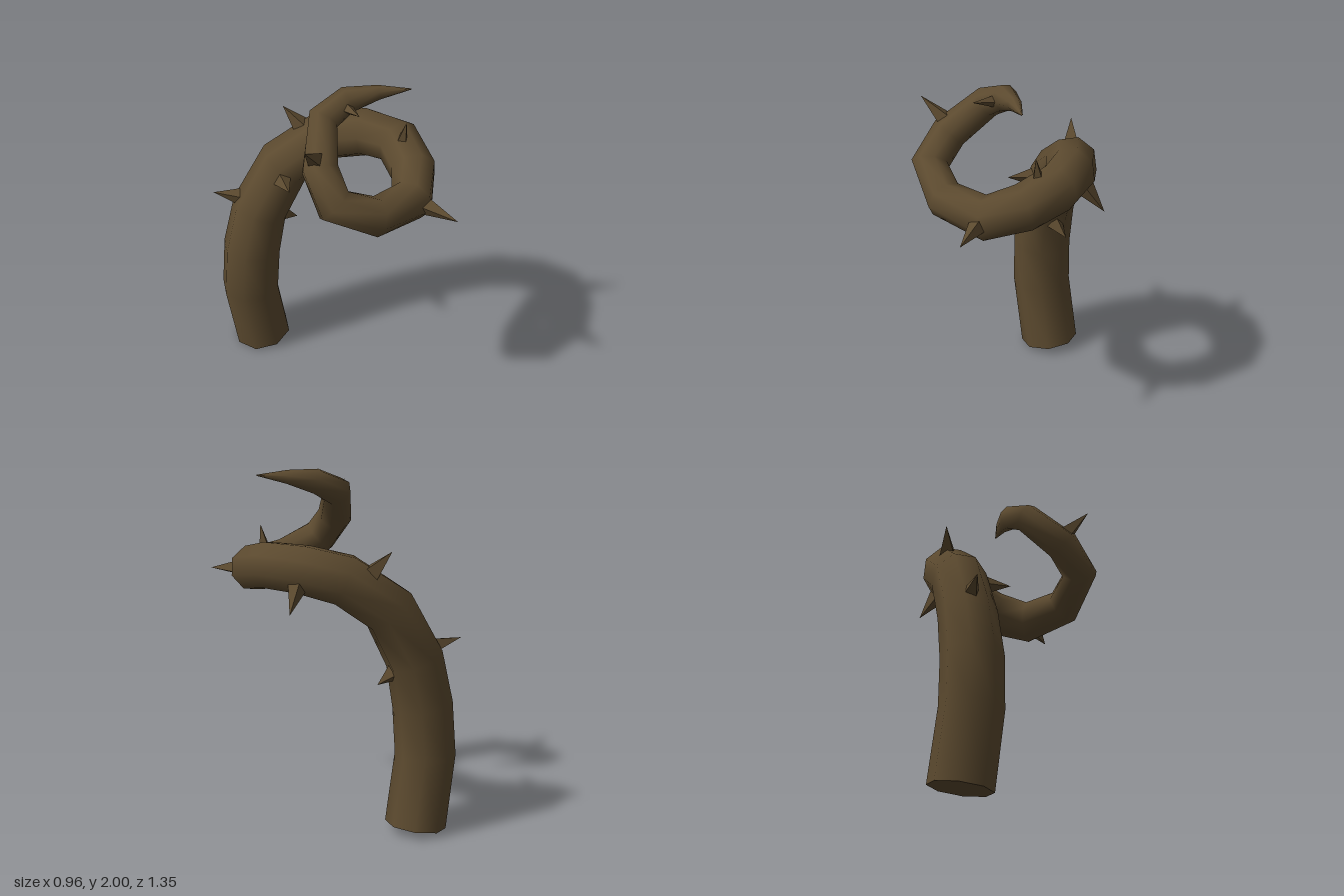
import * as THREE from 'three';

const SIDES = 8;

// Centreline of the vine: x, y, z, radius
const RINGS = [
  [-0.25, 0.03, -0.51, 0.172], [-0.32, 0.44, -0.505, 0.17], [-0.305, 0.73, -0.49, 0.168],
  [-0.25, 1.0, -0.475, 0.16], [-0.11, 1.29, -0.415, 0.153], [0.11, 1.465, -0.305, 0.145],
  [0.26, 1.515, -0.145, 0.137], [0.345, 1.52, 0.035, 0.132], [0.305, 1.465, 0.24, 0.127],
  [0.18, 1.415, 0.4, 0.12], [-0.08, 1.44, 0.445, 0.107], [-0.285, 1.55, 0.37, 0.104],
  [-0.282, 1.69, 0.235, 0.098], [-0.155, 1.86, 0.07, 0.085], [-0.01, 1.93, 0.075, 0.07],
  [0.135, 1.96, 0.145, 0.038], [0.28, 1.973, 0.228, 0.003],
];

// Thorns: base point, tip point, half width
const THORNS = [
  [[-0.33, 1.07, -0.53], [-0.47, 1.11, -0.61], 0.06],
  [[-0.13, 0.93, -0.43], [-0.03, 0.88, -0.42], 0.06],
  [[-0.19, 1.265, -0.31], [-0.24, 1.295, -0.15], 0.06],
  [[0.0, 1.51, -0.41], [-0.07, 1.62, -0.48], 0.06],
  [[0.34, 1.43, -0.19], [0.43, 1.31, -0.24], 0.055],
  [[0.3, 1.56, 0.13], [0.31, 1.72, 0.16], 0.05],
  [[0.215, 1.41, 0.48], [0.29, 1.39, 0.665], 0.055],
  [[-0.31, 1.76, 0.24], [-0.42, 1.88, 0.31], 0.055],
  [[-0.045, 1.915, 0.13], [-0.06, 1.94, 0.26], 0.036],
];

// Tapered tube through the rings, with a flat cap at the root
function vineGeometry() {
  const centres = RINGS.map(([x, y, z]) => new THREE.Vector3(x, y, z));
  const last = centres.length - 1;
  const dir = (i) => centres[i + 1].clone().sub(centres[i]).normalize();
  const pos = [], index = [];
  const normal = new THREE.Vector3(0, 0, 1);
  centres.forEach((c, i) => {
    const tangent = dir(Math.min(i, last - 1));
    if (i > 0 && i < last) tangent.add(dir(i - 1)).normalize();
    normal.addScaledVector(tangent, -normal.dot(tangent)).normalize();
    const side = tangent.clone().cross(normal);
    for (let j = 0; j < SIDES; j++) {
      const a = (j / SIDES) * Math.PI * 2;
      const p = c.clone()
        .addScaledVector(normal, Math.cos(a) * RINGS[i][3])
        .addScaledVector(side, Math.sin(a) * RINGS[i][3]);
      pos.push(p.x, p.y, p.z);
    }
  });
  for (let i = 0; i < last; i++) {
    for (let j = 0; j < SIDES; j++) {
      const k = (j + 1) % SIDES;
      const a = i * SIDES + j, b = i * SIDES + k;
      index.push(a, b, a + SIDES, b, b + SIDES, a + SIDES);
    }
  }
  // Root cap with its own vertices, for a sharp rim
  const cap = pos.length / 3;
  pos.push(...pos.slice(0, SIDES * 3));
  for (let j = 1; j < SIDES - 1; j++) index.push(cap, cap + j + 1, cap + j);

  const geo = new THREE.BufferGeometry();
  geo.setAttribute('position', new THREE.Float32BufferAttribute(pos, 3));
  geo.setIndex(index);
  geo.computeVertexNormals();
  return geo;
}

// Four-sided spike, sunk a little into the vine
function thornGeometry(base, tip, width) {
  const b = new THREE.Vector3(...base), t = new THREE.Vector3(...tip);
  const axis = t.clone().sub(b);
  const length = axis.length() + 0.02;
  axis.normalize();
  const geo = new THREE.ConeGeometry(width, length, 4).toNonIndexed();
  geo.translate(0, -length / 2, 0);
  geo.applyQuaternion(new THREE.Quaternion().setFromUnitVectors(new THREE.Vector3(0, 1, 0), axis));
  geo.translate(t.x, t.y, t.z);
  geo.computeVertexNormals(); // faceted
  return geo;
}

export function createModel() {
  const group = new THREE.Group();
  group.name = 'thornyVine';
  const bark = new THREE.MeshStandardMaterial({ color: 0x5c4a2f });
  bark.name = 'brown bark';

  const vine = new THREE.Mesh(vineGeometry(), bark);
  vine.name = 'vine';
  group.add(vine);

  const thorns = new THREE.Group();
  thorns.name = 'thorns';
  THORNS.forEach((spec, i) => {
    const thorn = new THREE.Mesh(thornGeometry(...spec), bark);
    thorn.name = `thorn${i + 1}`;
    thorns.add(thorn);
  });
  group.add(thorns);
  return group;
}
